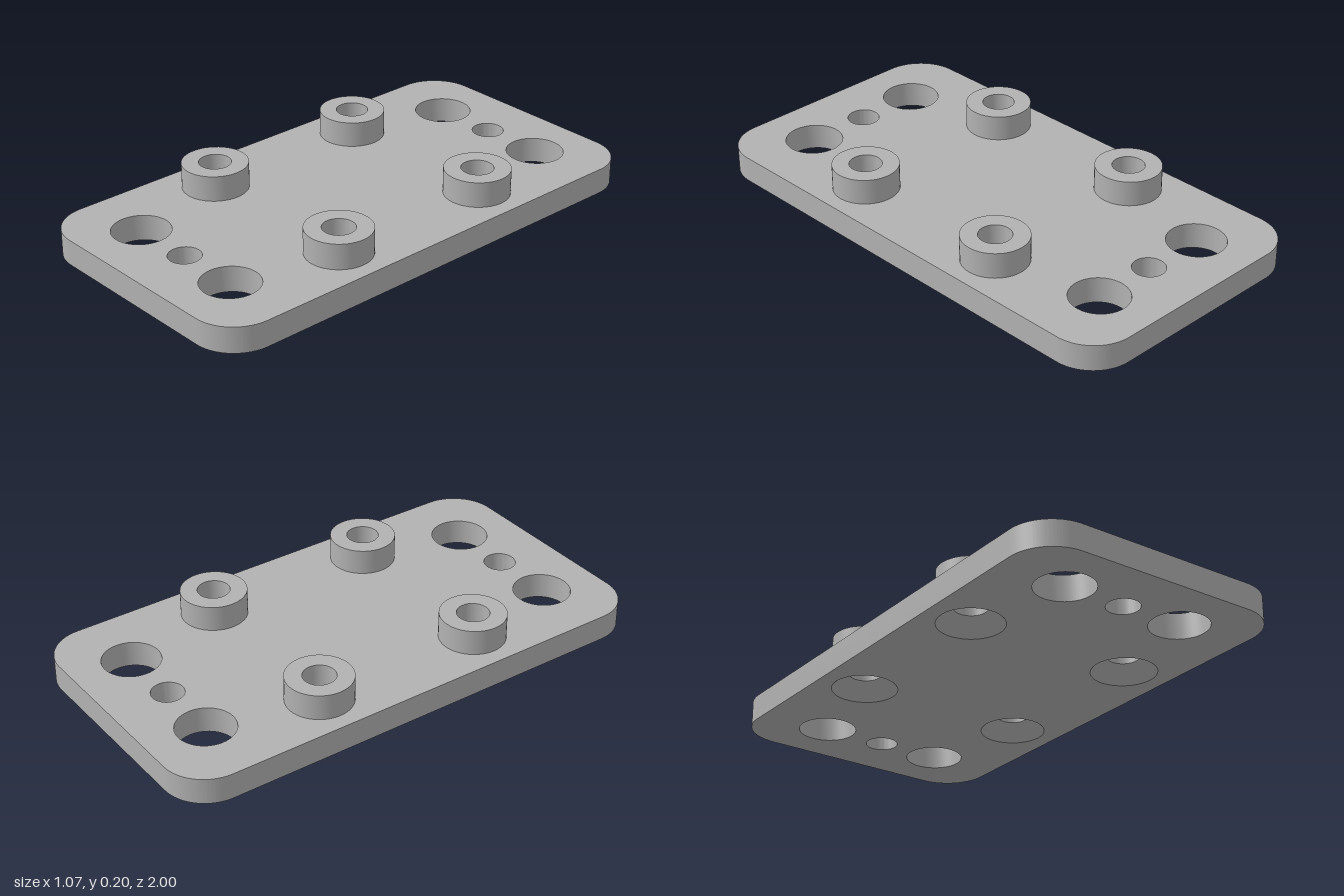
import * as THREE from 'three';
import { toCreasedNormals } from 'three/addons/utils/BufferGeometryUtils.js';

const HALF_W = 0.533, HALF_L = 1, CORNER = 0.17, THICK = 0.102;
const BOSS = { x: 0.346, z: 0.346, r: 0.127, top: 0.203, bore: 0.062, sinkR: 0.125, sinkDepth: 0.062 };

const smooth = (g) => toCreasedNormals(g.index ? g.toNonIndexed() : g, 0.5);

function roundedOutline() {
  const s = new THREE.Shape();
  const x = HALF_W - CORNER, y = HALF_L - CORNER, q = Math.PI / 2;
  s.absarc(x, y, CORNER, 0, q);
  s.absarc(-x, y, CORNER, q, 2 * q);
  s.absarc(-x, -y, CORNER, 2 * q, 3 * q);
  s.absarc(x, -y, CORNER, 3 * q, 4 * q);
  s.closePath();
  return s;
}

export function createModel() {
  const group = new THREE.Group();
  group.name = 'mountingPlate';
  const grey = new THREE.MeshStandardMaterial({ color: 0xb2b2b2 });
  grey.name = 'grey';

  // Plate with rounded corners and through holes
  const outline = roundedOutline();
  const cut = (x, z, r) => {
    const hole = new THREE.Path();
    hole.absarc(x, z, r, 0, Math.PI * 2, true);
    outline.holes.push(hole);
  };
  for (const end of [-1, 1]) {
    cut(0, end * 0.763, 0.062);
    for (const side of [-1, 1]) {
      cut(side * 0.254, end * 0.763, 0.111);
      cut(side * BOSS.x, end * BOSS.z, BOSS.r);
    }
  }
  const plateGeo = new THREE.ExtrudeGeometry(outline, { depth: THICK, bevelEnabled: false, curveSegments: 24 });
  plateGeo.rotateX(-Math.PI / 2);
  const plate = new THREE.Mesh(smooth(plateGeo), grey);
  plate.name = 'basePlate';
  group.add(plate);

  // Bosses set into the plate, each with a bore and a countersink underneath
  const profile = [
    [BOSS.sinkR, 0], [BOSS.r, 0], [BOSS.r, BOSS.top], [BOSS.bore, BOSS.top],
    [BOSS.bore, BOSS.sinkDepth], [BOSS.sinkR, 0],
  ].map(([r, y]) => new THREE.Vector2(r, y));
  const bossGeo = smooth(new THREE.LatheGeometry(profile, 48));
  for (const end of [-1, 1]) {
    for (const side of [-1, 1]) {
      const boss = new THREE.Mesh(bossGeo, grey);
      boss.name = (end > 0 ? 'front' : 'back') + (side > 0 ? 'Left' : 'Right') + 'Boss';
      boss.position.set(side * BOSS.x, 0, end * BOSS.z);
      group.add(boss);
    }
  }
  return group;
}
